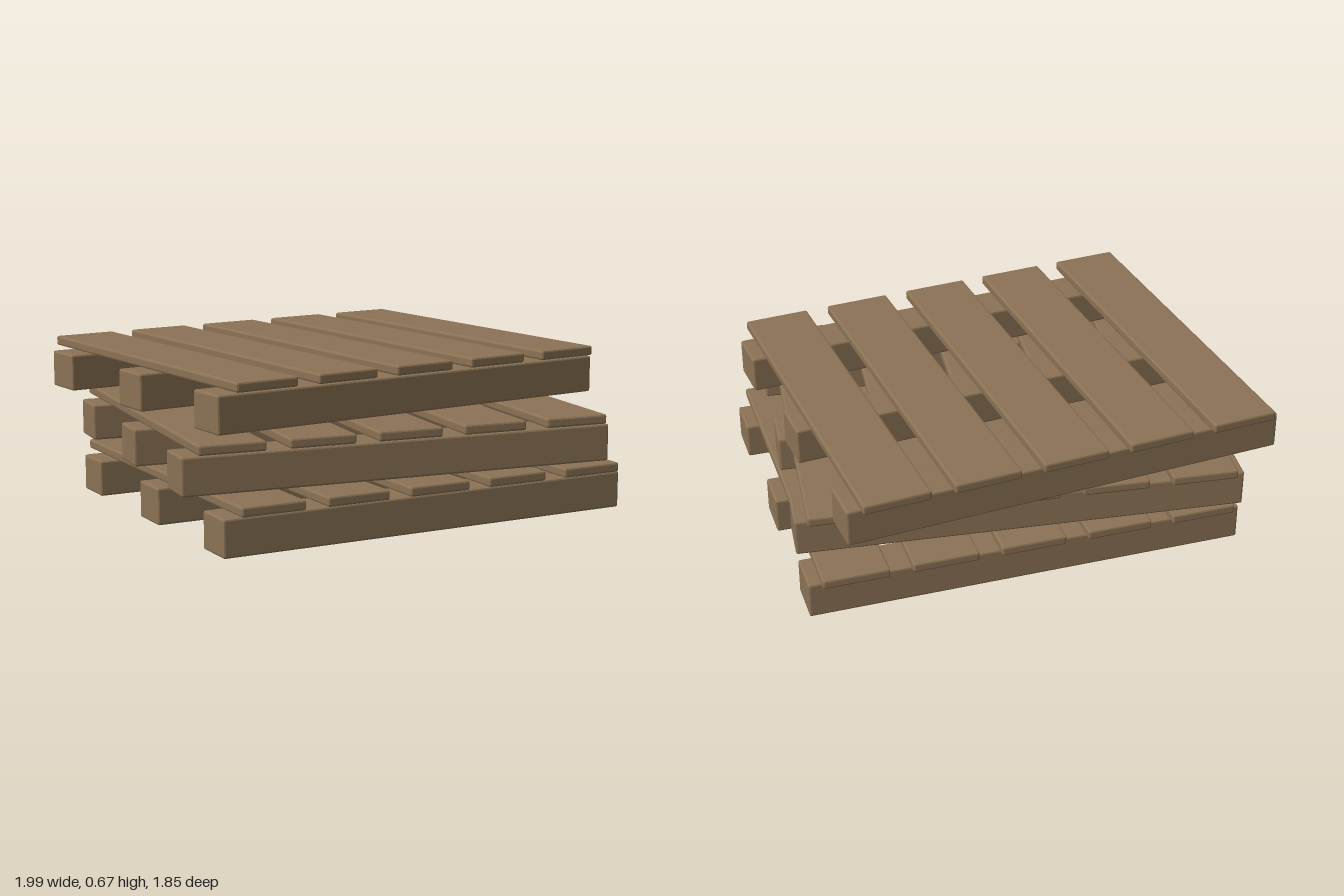
import * as THREE from 'three';
import { RoundedBoxGeometry } from 'three/addons/geometries/RoundedBoxGeometry.js';

// Plank with a small flat chamfer on its edges
function plank(w, h, d) {
  const g = new RoundedBoxGeometry(w, h, d, 1, 0.008);
  g.computeVertexNormals();
  return g;
}

export function createModel() {
  const group = new THREE.Group();
  group.name = 'palletStack';
  const wood = new THREE.MeshStandardMaterial({ color: 0x8b7355 });
  wood.name = 'wood';

  const beamGeometry = plank(1.85, 0.154, 0.186);
  const slatGeometry = plank(0.275, 0.04, 1.545);

  function add(parent, geometry, name, x, y, z) {
    const mesh = new THREE.Mesh(geometry, wood);
    mesh.name = name;
    mesh.position.set(x, y, z);
    parent.add(mesh);
  }

  // One pallet: three bearers below five deck slats
  function makePallet(name) {
    const pallet = new THREE.Group();
    pallet.name = name;
    for (let i = -1; i <= 1; i++) add(pallet, beamGeometry, 'beam', 0, 0.077, i * 0.618);
    for (let i = -2; i <= 2; i++) add(pallet, slatGeometry, 'slat', i * 0.37, 0.188, 0);
    return pallet;
  }

  // Loosely stacked pallets: name, x, z, turn
  [
    ['bottomPallet', 0.052, 0.057, 0],
    ['middlePallet', -0.002, 0.064, -0.11],
    ['topPallet', -0.006, -0.077, 0.0873],
  ].forEach(([name, x, z, turn], level) => {
    const pallet = makePallet(name);
    pallet.position.set(x, level * 0.2325, z);
    pallet.rotation.y = turn;
    group.add(pallet);
  });

  return group;
}
